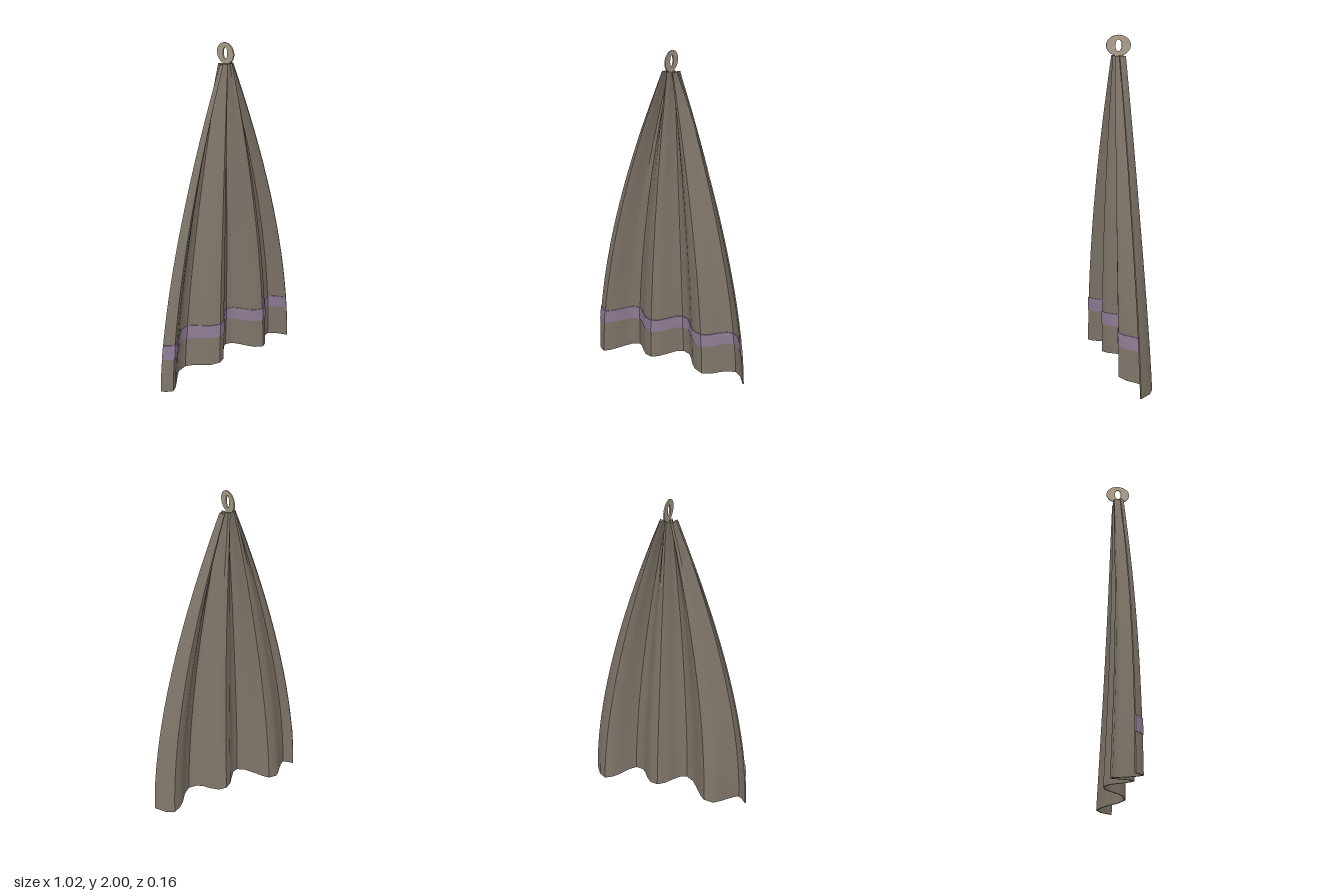
import * as THREE from 'three';
import { toCreasedNormals } from 'three/addons/utils/BufferGeometryUtils.js';

const TOP = 1.885;

// Pleat line at the hem: [x, z]
const PLEATS = [
  [-0.51, 0.026], [-0.488, 0.05], [-0.455, 0.072], [-0.425, 0.05], [-0.39, 0.012],
  [-0.35, -0.035], [-0.32, -0.063], [-0.265, -0.069], [-0.235, -0.045], [-0.195, 0.005],
  [-0.155, 0.05], [-0.105, 0.073], [-0.065, 0.055], [-0.025, 0.005], [0.01, -0.045],
  [0.052, -0.074], [0.1, -0.064], [0.135, -0.025], [0.165, 0.02], [0.195, 0.052],
  [0.25, 0.068], [0.295, 0.035], [0.335, -0.02], [0.37, -0.055], [0.415, -0.076],
  [0.46, -0.048], [0.505, 0.019],
];
const N = PLEATS.length;

// The pleat line gathers towards the top in width and depth, and bows forward midway
function clothPoint(i, y) {
  const s = THREE.MathUtils.clamp((TOP - y) / TOP, 0, 1);
  const width = (0.045 + 0.465 * (1 - (1 - s) ** 1.65)) / 0.51;
  const depth = (0.028 + 0.047 * s) / 0.075;
  const bow = 0.012 * Math.sin(Math.PI * s);
  return new THREE.Vector2(PLEATS[i][0] * width, PLEATS[i][1] * depth + bow);
}

// Closed sheet following the pleats, between two heights and two offsets along the normal
function sheet(topY, bottomY, rows, back, front) {
  const pos = [], idx = [], M = 2 * N;
  for (let r = 0; r <= rows; r++) {
    for (let k = 0; k < M; k++) {
      const i = k < N ? k : M - 1 - k;
      const u = PLEATS[i][0] / 0.51;
      const y = THREE.MathUtils.lerp(topY(u), bottomY(u), r / rows);
      const p = clothPoint(i, y);
      const t = clothPoint(Math.min(i + 1, N - 1), y).sub(clothPoint(Math.max(i - 1, 0), y)).normalize();
      const off = k < N ? front : back;
      pos.push(p.x - t.y * off, y, p.y + t.x * off);
    }
  }
  for (let r = 0; r < rows; r++) {
    for (let k = 0; k < M; k++) {
      const a = r * M + k, b = r * M + (k + 1) % M;
      idx.push(a, a + M, b + M, a, b + M, b);
    }
  }
  // Top and bottom rims
  for (let k = 0; k < N - 1; k++) {
    const a = k, b = k + 1, c = M - 2 - k, d = M - 1 - k, o = rows * M;
    idx.push(a, b, c, a, c, d, o + a, o + c, o + b, o + a, o + d, o + c);
  }
  const g = new THREE.BufferGeometry();
  g.setAttribute('position', new THREE.Float32BufferAttribute(pos, 3));
  g.setIndex(idx);
  return toCreasedNormals(g, 0.72);
}

function addPart(group, name, geometry, color) {
  const mesh = new THREE.Mesh(geometry, new THREE.MeshStandardMaterial({ color, side: THREE.DoubleSide }));
  mesh.name = name;
  group.add(mesh);
  return mesh;
}

export function createModel() {
  const group = new THREE.Group();
  group.name = 'hangingCloth';
  const arch = (u) => (1 + Math.cos(Math.PI * u)) / 2;

  // Pleated cloth with an arched hem
  const hem = (u) => 0.012 + 0.012 * u + 0.063 * arch(u);
  addPart(group, 'cloth', sheet(() => TOP, hem, 18, -0.004, 0.004), 0x80766a);

  // Coloured band on the front
  const bandTop = (u) => 0.3075 + 0.0025 * u + 0.0275 * arch(u);
  const bandBottom = (u) => 0.222 + 0.008 * u + 0.033 * arch(u);
  addPart(group, 'band', sheet(bandTop, bandBottom, 2, 0.002, 0.008), 0x8f7d96);

  // Flat oval hanging ring
  const oval = new THREE.Shape().absellipse(0, 0, 0.072, 0.058, 0, Math.PI * 2);
  oval.holes.push(new THREE.Path().absellipse(0, 0, 0.019, 0.033, 0, Math.PI * 2, true));
  const ringGeometry = new THREE.ExtrudeGeometry(oval, { depth: 0.007, bevelEnabled: false, curveSegments: 24 });
  ringGeometry.translate(0, 0, -0.0035);
  const ring = addPart(group, 'hangingRing', ringGeometry, 0xb0a48e);
  ring.rotation.y = Math.PI / 2;
  ring.position.y = 1.942;

  return group;
}
